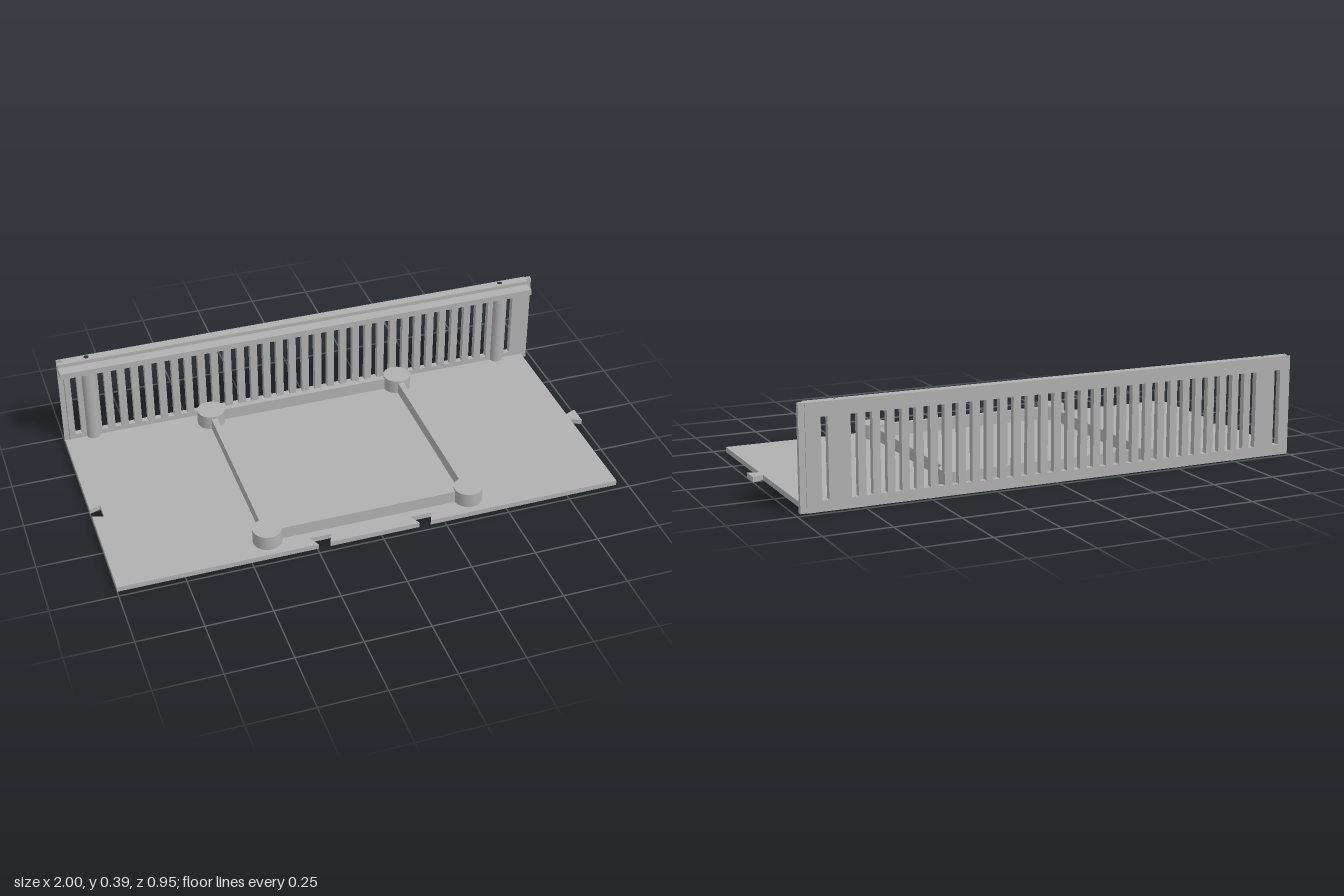
import * as THREE from 'three';
import { toCreasedNormals } from 'three/addons/utils/BufferGeometryUtils.js';

const BACK = -0.478, FRONT = 0.476, LEFT = -1, RIGHT = 0.957;
const SKIN = -0.474, WALL_FRONT = -0.454, CAP_FRONT = -0.44;
const FLOOR = 0.02, CAP_Y = 0.35, TOP = 0.387;

export function createModel() {
  const model = new THREE.Group();
  const plastic = new THREE.MeshStandardMaterial({ color: 0xb0b0b0 });
  plastic.name = 'grey plastic';

  function add(name, geometry) {
    const mesh = new THREE.Mesh(geometry, plastic);
    mesh.name = name;
    model.add(mesh);
    return mesh;
  }

  // Box given by its limits on each axis
  function box(name, x0, x1, y0, y1, z0, z1) {
    const mesh = add(name, new THREE.BoxGeometry(x1 - x0, y1 - y0, z1 - z0));
    mesh.position.set((x0 + x1) / 2, (y0 + y1) / 2, (z0 + z1) / 2);
  }

  // Flat plate from an (x, z) outline with round holes [x, z, radius]
  function plate(name, outline, holes, y0, y1) {
    const shape = new THREE.Shape(outline.map(([x, z]) => new THREE.Vector2(x, -z)));
    for (const [x, z, r] of holes) {
      shape.holes.push(new THREE.Path().absarc(x, -z, r, 0, Math.PI * 2, true));
    }
    const g = new THREE.ExtrudeGeometry(shape, { depth: y1 - y0, bevelEnabled: false, curveSegments: 12 });
    g.rotateX(-Math.PI / 2);
    g.translate(0, y0, 0);
    add(name, toCreasedNormals(g, 0.7));
  }

  const bosses = [-0.417, 0.374].flatMap(x => [-0.397, 0.394].map(z => [x, z]));
  const pillars = [-0.884, 0.842];

  // Groove at the left end of the back edge, shared by base and cap
  const groove = [[LEFT, WALL_FRONT], [-0.98, WALL_FRONT], [-0.98, SKIN], [LEFT, SKIN]];

  // Base with dovetail notches on the left and front edges and a dovetail tab on the right
  const frontNotch = c => [[c - 0.022, FRONT], [c - 0.042, 0.433], [c + 0.042, 0.433], [c + 0.022, FRONT]];
  plate('basePlate', [
    ...groove, [LEFT, BACK], [RIGHT, BACK],
    [RIGHT, 0.01], [1, -0.006], [1, 0.068], [RIGHT, 0.052],
    [RIGHT, FRONT], ...frontNotch(0.172).reverse(), ...frontNotch(-0.223).reverse(),
    [LEFT, FRONT], [LEFT, 0.052], [-0.957, 0.068], [-0.957, -0.006], [LEFT, 0.01],
  ], [
    ...bosses.map(([x, z]) => [x, z, 0.02]),
    ...pillars.map(x => [x, -0.46, 0.013]),
  ], 0, FLOOR);

  // Back wall with a row of ventilation slots, leaving gaps at the pillars
  const wall = new THREE.Shape();
  wall.moveTo(-0.98, FLOOR).lineTo(RIGHT, FLOOR).lineTo(RIGHT, CAP_Y).lineTo(-0.98, CAP_Y).closePath();
  for (let i = 0; i < 35; i++) {
    if (i === 1 || i === 33) continue;
    const x = -0.944 + i * 0.0539, w = 0.0125;
    const slot = new THREE.Path();
    slot.moveTo(x - w, 0.04).lineTo(x - w, 0.334).lineTo(x + w, 0.334).lineTo(x + w, 0.04).closePath();
    wall.holes.push(slot);
  }
  const wallGeometry = new THREE.ExtrudeGeometry(wall, { depth: WALL_FRONT - BACK, bevelEnabled: false });
  wallGeometry.translate(0, 0, BACK);
  add('ventedBackWall', wallGeometry);

  // Thin skin behind the end groove, and the mating tongue at the other end
  box('grooveSkin', LEFT, -0.98, FLOOR, CAP_Y, BACK, SKIN);
  box('wallTongue', RIGHT, 0.98, 0, TOP, SKIN, -0.456);

  // Wall cap with screw holes, and the ledge in front of it
  plate('wallCap', [
    ...groove, [LEFT, BACK], [RIGHT, BACK], [RIGHT, CAP_FRONT], [LEFT, CAP_FRONT],
  ], pillars.map(x => [x, -0.463, 0.01]), CAP_Y, TOP);
  box('ledge', LEFT, RIGHT, 0.348, 0.372, CAP_FRONT, -0.394);

  // Half-round screw pillars against the wall
  for (const x of pillars) {
    const g = new THREE.CylinderGeometry(0.028, 0.028, CAP_Y - FLOOR, 24, 1, false, -Math.PI / 2, Math.PI);
    add('screwPillar', g).position.set(x, (CAP_Y + FLOOR) / 2, -0.459);
  }

  // Round corner bosses, hollow from below
  const bossProfile = [[0, 0.055], [0.02, 0.055], [0.02, FLOOR], [0.055, FLOOR], [0.055, 0.077], [0, 0.077]]
    .map(([x, y]) => new THREE.Vector2(x, y));
  for (const [x, z] of bosses) {
    const g = toCreasedNormals(new THREE.LatheGeometry(bossProfile, 32), 0.7);
    add('cornerBoss', g).position.set(x, 0, z);
  }

  // Ribs joining the bosses into a frame
  for (const x of [-0.417, 0.374]) box('sideRib', x - 0.012, x + 0.012, FLOOR, 0.068, -0.397, 0.394);
  for (const z of [-0.404, 0.388]) box('crossRib', -0.417, 0.374, FLOOR, 0.068, z - 0.012, z + 0.012);

  return model;
}
